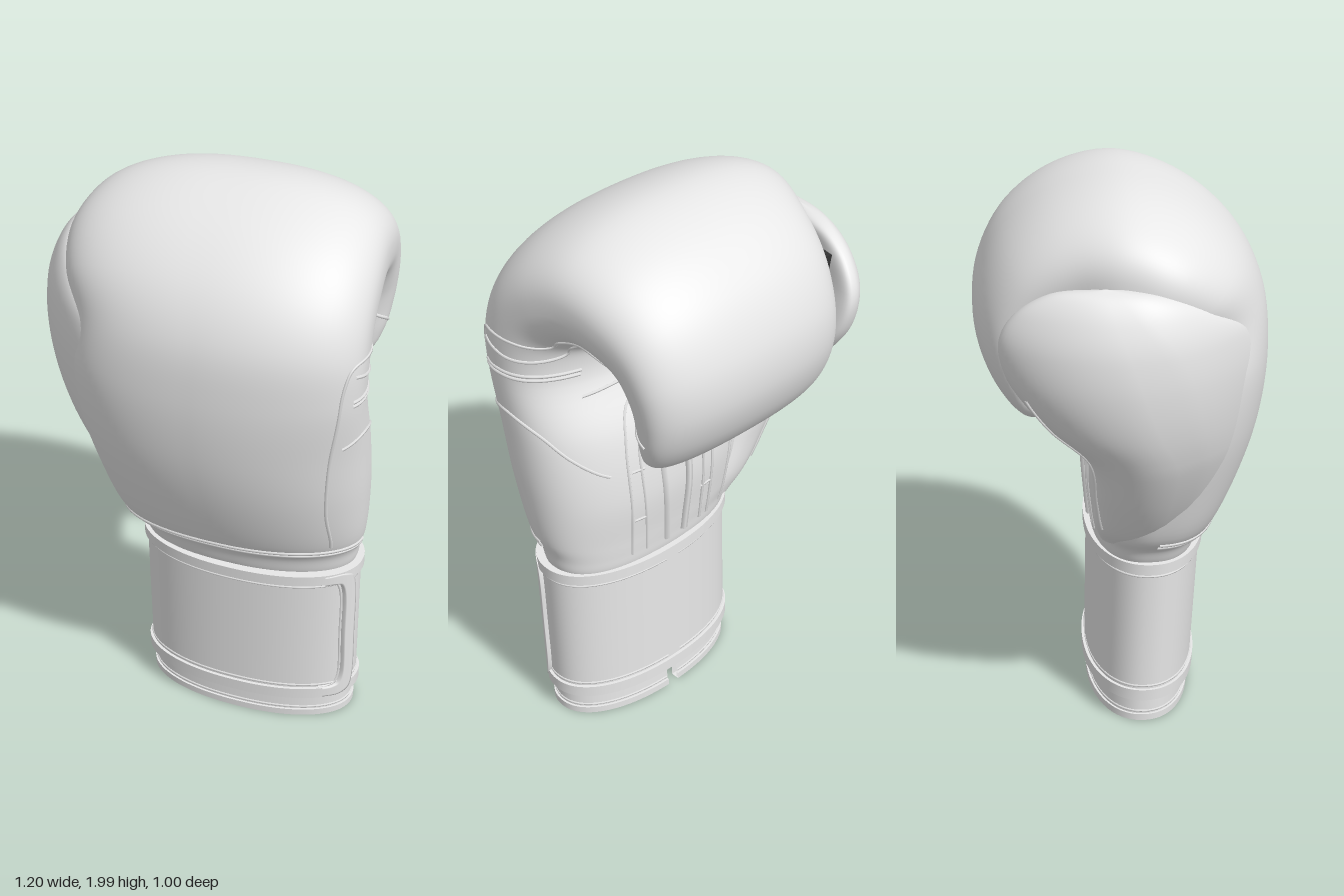
import * as THREE from 'three';
import { mergeGeometries } from 'three/addons/utils/BufferGeometryUtils.js';

const leather = new THREE.MeshStandardMaterial({ color: 0xe8e8e8, side: THREE.DoubleSide });
leather.name = 'light grey leather';
const dark = new THREE.MeshStandardMaterial({ color: 0x333333 });
dark.name = 'dark webbing';

const V = (x, y, z) => new THREE.Vector3(x, y, z);
const { lerp, clamp, smoothstep } = THREE.MathUtils;
const pow = (c, n) => Math.sign(c) * Math.abs(c) ** (2 / n); // superellipse coordinate

// Smooth surface from fn(u, v); v wraps round when closed.
function grid(fn, nu, nv, closed = true) {
  const pos = [], idx = [], cols = closed ? nv : nv + 1;
  for (let i = 0; i <= nu; i++)
    for (let j = 0; j < cols; j++) pos.push(...fn(i / nu, j / nv).toArray());
  for (let i = 0; i < nu; i++)
    for (let j = 0; j < nv; j++) {
      const k = (j + 1) % cols, a = i * cols + j, b = a + cols, c = (i + 1) * cols + k, d = i * cols + k;
      idx.push(a, b, d, b, c, d);
    }
  const g = new THREE.BufferGeometry();
  g.setAttribute('position', new THREE.Float32BufferAttribute(pos, 3));
  g.setIndex(idx);
  g.computeVertexNormals();
  return g;
}

// Padded shell sections: outer z, y, inner z, y, then x from and to.
const bodyRows = [
  [.08, .6, .08, .6, .16, .16],
  [.25, .61, -.08, .61, -.18, .51],
  [.275, .66, -.10, .66, -.215, .54],
  [.295, .72, -.105, .71, -.24, .55],
  [.345, .79, -.11, .77, -.3, .57],
  [.43, 1, -.12, .95, -.36, .588],
  [.48, 1.2, -.08, 1.18, -.4, .592],
  [.5, 1.42, .02, 1.38, -.4, .594],
  [.48, 1.62, .03, 1.45, -.385, .596],
  [.39, 1.79, .02, 1.49, -.445, .593],
  [.22, 1.93, -.01, 1.515, -.475, .585],
  [0, 2, -.06, 1.53, -.45, .57],
  [-.22, 1.95, -.11, 1.53, -.39, .555],
  [-.39, 1.82, -.17, 1.51, -.348, .535],
  [-.48, 1.65, -.2, 1.46, -.325, .52],
  [-.495, 1.5, -.21, 1.4, -.315, .505],
  [-.46, 1.37, -.215, 1.32, -.3, .485],
  [-.4, 1.275, -.225, 1.26, -.27, .45],
  [-.345, 1.23, -.26, 1.23, -.2, .38],
  [-.3, 1.215, -.3, 1.215, .085, .085],
];
const outer = new THREE.CatmullRomCurve3(bodyRows.map(r => V(r[4], r[1], r[0])));
const inner = new THREE.CatmullRomCurve3(bodyRows.map(r => V(r[5], r[3], r[2])));
function bodyPoint(u, v) {
  const o = outer.getPoint(u), i = inner.getPoint(u), t = v * Math.PI * 2;
  // the outer little-finger edge is rounder low down
  const n = t < Math.PI / 2 ? lerp(2.02, 2.4, smoothstep(u, .35, .6)) : 2.45;
  const c = pow(Math.cos(t), n), s = pow(Math.sin(t), n);
  return V((o.x + i.x) / 2 + (i.x - o.x) / 2 * c,
    (o.y + i.y) / 2 + (o.y - i.y) / 2 * s, (o.z + i.z) / 2 + (o.z - i.z) / 2 * s);
}

// Thumb sections: y, outer x, half thickness, front z, back z.
const thumbRows = [
  [.72, -.2, .08, .26, -.08], [.8, -.3, .13, .325, -.1], [.95, -.415, .16, .385, -.11],
  [1.15, -.53, .17, .445, -.14], [1.3, -.58, .155, .47, -.29], [1.45, -.6, .122, .47, -.395],
  [1.58, -.592, .09, .4, -.415], [1.68, -.56, .067, .26, -.36], [1.75, -.515, .044, .1, -.25],
  [1.775, -.465, 0, -.08, -.08],
];
const thumbA = new THREE.CatmullRomCurve3(thumbRows.map(r => V(r[1], r[0], r[3])));
const thumbB = new THREE.CatmullRomCurve3(thumbRows.map(r => V(r[2], r[0], r[4])));
function thumbPoint(u, v) {
  const a = thumbA.getPoint(u), b = thumbB.getPoint(u), t = v * Math.PI * 2;
  const n = Math.sin(t) > 0 ? 3.4 : 2.4; // blunt front end merges with the hand
  const z = (a.z + b.z) / 2 + (a.z - b.z) / 2 * pow(Math.sin(t), n);
  const bend = z > 0 ? 1.52 : .7; // curls round the hand
  return V(a.x + b.x + b.x * pow(Math.cos(t), n) + bend * z * z, (a.y + b.y) / 2, z);
}

// Point on the wrist cuff, pushed out by off.
function cuffPoint(t, y, off = 0) {
  const k = (y - .1) / .56, zf = lerp(.265, .295, k), zb = lerp(-.122, -.112, k);
  const x0 = lerp(-.222, -.226, k), x1 = lerp(.55, .556, k);
  return V((x0 + x1) / 2 + ((x1 - x0) / 2 + off) * pow(Math.cos(t), 2.15), y,
    (zf + zb) / 2 + ((zf - zb) / 2 + off) * pow(Math.sin(t), 2.15));
}
// Ring swept round the wrist from a [y, off] profile, with an optional gap at the back.
function ring(profile, gap = 0) {
  const t0 = -Math.PI / 2 + gap, span = Math.PI * 2 - gap * 2;
  return mergeGeometries(profile.slice(1).map((q, i) => grid((u, v) =>
    cuffPoint(t0 + span * v, lerp(profile[i][0], q[0], u), lerp(profile[i][1], q[1], u)), 1, 96, !gap)));
}

export function createModel() {
  const model = new THREE.Group();
  const add = (name, geo, mat = leather) => {
    const m = new THREE.Mesh(geo, mat);
    m.name = name;
    model.add(m);
    return m;
  };
  const cord = (name, pts, r) => add(name,
    new THREE.TubeGeometry(new THREE.CatmullRomCurve3(pts), pts.length * 2, r, 5));

  const body = add('paddedHandShell', grid(bodyPoint, 120, 96));
  const thumb = add('thumb', grid(thumbPoint, 60, 64));

  // Strap tying the thumb to the fingers
  const tie = add('thumbTie', new THREE.BoxGeometry(.09, .05, .15), dark);
  tie.position.set(-.392, 1.67, -.225);
  tie.rotation.y = -.25;

  // Wrist cuff and its bindings
  add('cuff', ring([[.1, -.03], [.1, 0], [.66, 0], [.66, -.07]]));
  add('cuffLowerBinding', ring([[.105, 0], [.105, .011], [.148, .011], [.148, 0]]));
  add('cuffUpperBinding', ring([[.622, 0], [.622, .011], [.662, .011], [.662, -.01]]));
  add('wristLining', ring([[.62, -.04], [.012, -.035], [.012, -.012], [.13, -.016]], .05));
  add('liningHem', ring([[.01, -.03], [.01, -.005], [.035, -.005], [.035, -.015]], .05));

  // Rounded binding on the closing flap at the side of the cuff
  const flatCurve = pts => new THREE.CatmullRomCurve3(pts.map(p => V(p[0], p[1], 0)));
  const flapOuter = flatCurve([[.7, .655], [.4, .652], [.25, .625], [.2, .56], [.2, .38],
    [.2, .2], [.25, .14], [.4, .112], [.7, .11]]);
  const flapInner = flatCurve([[.7, .62], [.57, .618], [.46, .605], [.41, .55], [.41, .38],
    [.41, .21], [.46, .165], [.57, .15], [.7, .148]]);
  add('flapBinding', grid((u, v) => {
    const p = flapOuter.getPoint(u).lerp(flapInner.getPoint(u), clamp(v * 1.25 - .125, 0, 1));
    return cuffPoint(p.x, p.y, v === 0 || v === 1 ? -.004 : .014);
  }, 60, 10, false));
  cord('flapStitch', flapInner.getPoints(50).map(p => cuffPoint(p.x + .03, p.y)), .005);

  for (const y of [.61, .16, .045]) {
    const pts = [];
    for (let i = 0; i <= 80; i++)
      pts.push(cuffPoint(-Math.PI / 2 + .06 + i / 80 * (Math.PI * 2 - .12), y, y < .1 ? -.013 : 0));
    cord('cuffStitch', pts, .004);
  }

  // Double stitch where the padding meets the neck
  for (const u of [3.6, 3.85]) {
    const pts = [];
    for (let i = 0; i <= 50; i++) pts.push(bodyPoint(u / (bodyRows.length - 1), i / 50 * .5));
    cord('neckStitch', pts, .007);
  }

  // Seams laid on a surface by casting their points along an axis
  const ray = new THREE.Raycaster();
  function seam(name, target, pts, origin, dir, r = .006) {
    const hits = [];
    for (const p of flatCurve(pts).getPoints(pts.length * 5)) {
      ray.set(origin(p), dir);
      const h = ray.intersectObject(target)[0];
      if (h) hits.push(h.point);
    }
    if (hits.length > 3) cord(name, hits, r);
  }
  const sideSeams = [
    [[.25, .8], [.32, 1], [.36, 1.3], [.355, 1.5], [.325, 1.555], [.2, 1.56], [.08, 1.555], [.03, 1.6],
      [-.13, 1.635], [-.19, 1.58], [-.26, 1.43], [-.34, 1.37]],
    [[.32, 1.52], [.2, 1.49], [.08, 1.5], [.04, 1.55], [-.13, 1.61]],
    [[.325, 1.43], [.2, 1.43], [.06, 1.43]],
    [[.325, 1.415], [.2, 1.415], [.06, 1.415]],
    [[.33, 1.25], [.24, 1.275], [.1, 1.23], [0, 1.14], [-.07, 1.06]],
  ];
  sideSeams.forEach(s => seam('sideSeam', body, s, p => V(1, p.y, p.x), V(-1, 0, 0)));

  const palmSeams = [
    [[.02, .7], [.03, 1.15], [.08, 1.24], [.15, 1.26], [.23, 1.24], [.28, 1.15], [.27, .7]],
    [[-.02, .7], [-.02, 1.15], [.03, 1.28], [.15, 1.31], [.28, 1.28], [.33, 1.15], [.33, .7]],
    [[-.25, 1.34], [.1, 1.36], [.42, 1.34]],
    [[-.1, .7], [-.13, .95], [-.2, 1.3]],
  ];
  const fromBack = p => V(p.x, p.y, -.2);
  palmSeams.forEach(s => seam('palmSeam', body, s, fromBack, V(0, 0, 1)));
  seam('palmLoopPiping', body, [[.1, .7], [.09, 1.05], [.11, 1.15], [.15, 1.18], [.19, 1.15], [.2, 1.05], [.18, .7]],
    fromBack, V(0, 0, 1), .014);
  for (const y of [.85, 1.05]) for (const x of [-.02, .275])
    seam('palmCrossSeam', body, [[x, y], [x + .025, y], [x + .05, y]], fromBack, V(0, 0, 1), .005);
  seam('thumbSeam', thumb, [[-.25, .82], [-.32, .98], [-.4, 1.14], [-.44, 1.28], [-.45, 1.4]],
    p => V(p.x, p.y, -1), V(0, 0, 1));

  return model;
}
